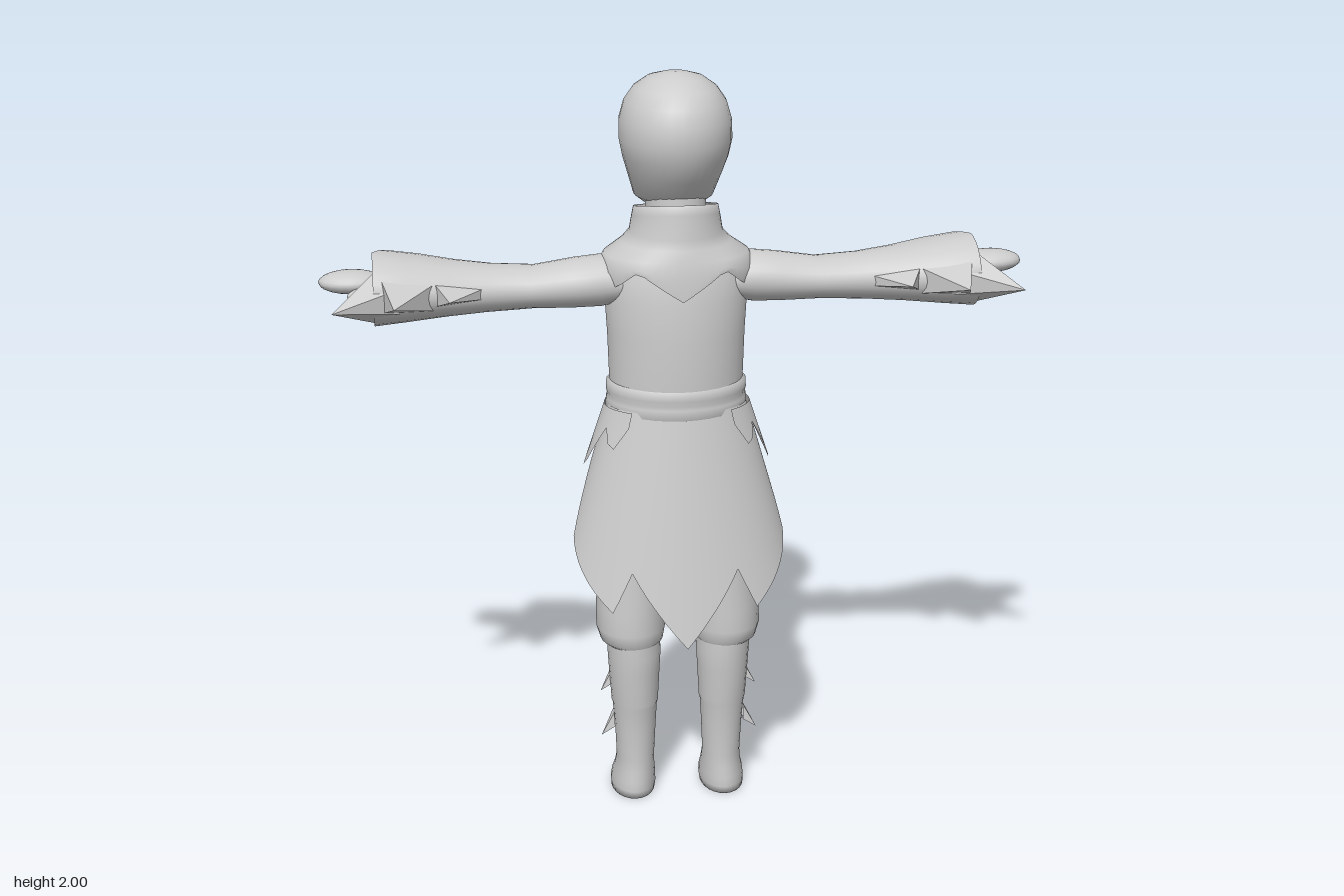
import * as THREE from 'three';

const cloth = new THREE.MeshStandardMaterial({ color: 0xcccccc, side: THREE.DoubleSide });
cloth.name = 'light grey';

// grid surface from a point function; u may wrap around
function grid(nu, nv, closed, fn) {
  const pos = [], idx = [], cols = closed ? nu : nu + 1;
  for (let j = 0; j <= nv; j++)
    for (let i = 0; i < cols; i++) pos.push(...fn(i / nu, j / nv, j));
  for (let j = 0; j < nv; j++)
    for (let i = 0; i < nu; i++) {
      const k = (i + 1) % cols, a = j * cols + i, b = j * cols + k;
      idx.push(a, b, b + cols, a, b + cols, a + cols);
    }
  const g = new THREE.BufferGeometry();
  g.setAttribute('position', new THREE.Float32BufferAttribute(pos, 3));
  g.setIndex(idx);
  g.computeVertexNormals();
  return g;
}

// upright loft: rows are [y, half width, z at back of body, z at chest, centre x]
function loft(rows, seg = 32, lift = () => 0) {
  return grid(seg, rows.length - 1, true, (u, v, j) => {
    const a = u * Math.PI * 2, [y, rx, z1, z0, cx = 0] = rows[j];
    return [cx + Math.sin(a) * rx, y + lift(a, v, j), (z1 + z0) / 2 + Math.cos(a) * (z1 - z0) / 2];
  });
}

// linear lookup in [[key, value], ...]
function lerpKeys(keys, k) {
  for (let i = 1; i < keys.length; i++)
    if (k <= keys[i][0]) {
      const [k0, v0] = keys[i - 1], [k1, v1] = keys[i];
      return v0 + (v1 - v0) * (k - k0) / (k1 - k0);
    }
  return keys[keys.length - 1][1];
}

// flared skirt panel hanging from the belt with a pointed hem, angles in degrees from +z
function skirt(hem, flareX, flareZ, grow = 0, top = 1.13) {
  const d0 = hem[0][0], d1 = hem[hem.length - 1][0], n = Math.round((d1 - d0) / 2.5);
  return grid(n, 8, false, (u, v) => {
    const d = d0 + (d1 - d0) * u, a = d * Math.PI / 180;
    const y = lerpKeys(hem, d) * (1 - v) + top * v, drop = top - y;
    const rx = 0.183 + grow + drop * flareX;
    const rz = (Math.cos(a) > 0 ? 0.12 : 0.168) + grow + drop * flareZ;
    return [Math.sin(a) * rx, y, Math.cos(a) * rz];
  });
}

// sharp scrap of cloth: a tip joined to a small loop of base points
function scrap(tip, base) {
  const pos = [];
  base.forEach((p, i) => pos.push(...tip, ...p, ...base[(i + 1) % base.length]));
  const g = new THREE.BufferGeometry();
  g.setAttribute('position', new THREE.Float32BufferAttribute(pos, 3));
  g.computeVertexNormals();
  return g;
}

function ball(x, y, z, rx, ry, rz, turn = 0) {
  return new THREE.SphereGeometry(1, 20, 12).scale(rx, ry, rz).rotateY(turn).translate(x, y, z);
}

export function createModel() {
  const model = new THREE.Group();
  const add = (name, geo) => {
    const m = new THREE.Mesh(geo, cloth);
    m.name = name;
    model.add(m);
  };
  // left part plus its mirrored twin
  const addPair = (name, geo) => {
    add('left ' + name, geo);
    const g = geo.clone().toNonIndexed().scale(-1, 1, 1);
    for (const key of ['position', 'normal']) {
      const at = g.getAttribute(key), p = new THREE.Vector3(), q = new THREE.Vector3();
      for (let i = 0; i < at.count; i += 3) {
        p.fromBufferAttribute(at, i + 1);
        q.fromBufferAttribute(at, i + 2);
        at.setXYZ(i + 1, q.x, q.y, q.z);
        at.setXYZ(i + 2, p.x, p.y, p.z);
      }
    }
    add('right ' + name, g);
  };

  // head and neck
  add('head', loft([
    [1.635, 0, -0.1, -0.1], [1.638, 0.035, -0.05, -0.145], [1.65, 0.075, -0.01, -0.18],
    [1.675, 0.104, 0.04, -0.2], [1.735, 0.122, 0.093, -0.208], [1.785, 0.137, 0.118, -0.196],
    [1.83, 0.146, 0.132, -0.203], [1.88, 0.145, 0.13, -0.207], [1.925, 0.132, 0.113, -0.195],
    [1.96, 0.108, 0.083, -0.165], [1.985, 0.073, 0.04, -0.12], [1.997, 0.035, 0, -0.07], [2, 0, -0.03, -0.03],
  ]));
  add('neck', loft([[1.55, 0.08, 0.06, -0.11], [1.7, 0.08, 0.05, -0.11]], 20));
  addPair('eye', ball(0.065, 1.785, -0.176, 0.03, 0.008, 0.01, -0.33 + Math.PI));

  // body and belt
  add('tunic', loft([
    [0.83, 0, -0.02, -0.02], [0.86, 0.14, 0.08, -0.11], [0.95, 0.17, 0.11, -0.15], [1.1, 0.18, 0.118, -0.165],
    [1.2, 0.178, 0.122, -0.168], [1.32, 0.182, 0.12, -0.168], [1.42, 0.188, 0.115, -0.165],
    [1.5, 0.175, 0.1, -0.14], [1.56, 0.12, 0.08, -0.12], [1.62, 0.09, 0.07, -0.11],
  ]));
  add('belt', loft([
    [1.105, 0.178, 0.115, -0.165], [1.115, 0.189, 0.127, -0.174], [1.14, 0.187, 0.125, -0.172],
    [1.15, 0.183, 0.122, -0.17], [1.165, 0.187, 0.127, -0.173], [1.185, 0.186, 0.126, -0.172], [1.195, 0.176, 0.117, -0.164],
  ]));

  // cowl with high collar, pointed at back and chest, lobed over the shoulders
  const cowlHem = [[0, -0.005], [35, 0.07], [58, 0.02], [80, 0.03], [95, 0.04], [120, 0.01], [145, 0.06], [180, 0.01]];
  add('cowl', loft([
    [1.44, 0.196, 0.132, -0.176], [1.49, 0.206, 0.13, -0.176], [1.535, 0.19, 0.122, -0.17],
    [1.565, 0.145, 0.112, -0.163], [1.59, 0.122, 0.104, -0.158], [1.63, 0.115, 0.1, -0.157],
    [1.655, 0.11, 0.094, -0.152], [1.65, 0.098, 0.08, -0.138], [1.59, 0.09, 0.07, -0.12],
  ], 48, (a, v, j) => {
    const d = Math.abs(((a * 180 / Math.PI + 180) % 360) - 180);
    return j < 2 ? lerpKeys(cowlHem, d) * (1 - j * 0.6) : j > 4 ? 0.025 * Math.cos(a) : 0;
  }));

  // skirt panels
  add('back skirt', skirt([[-95, 0.97], [-80, 0.77], [-35, 0.6], [-27.5, 0.71], [0, 0.51],
    [27.5, 0.71], [35, 0.6], [80, 0.77], [95, 0.97]], 0.29, 0.18));
  add('front skirt', skirt([[95, 0.98], [110, 0.86], [135, 0.8], [140, 0.83], [160, 0.71], [177.5, 0.8],
    [182.5, 0.8], [200, 0.71], [220, 0.83], [225, 0.8], [250, 0.86], [265, 0.98]], 0.14, 0.14));
  // scalloped hip petals
  addPair('hip petals', skirt([[42.5, 1.09], [52.5, 1.03], [60, 1.04], [67.5, 1.08], [85, 0.98], [95, 0.955],
    [102.5, 1], [112.5, 1.08], [125, 1.03], [135, 1.03], [145, 1.09]], 0.33, 0.15, 0.01));

  // trousers and boots
  addPair('trouser leg', loft([
    [0.45, 0.07, 0.1, -0.06, 0.125], [0.465, 0.085, 0.117, -0.075, 0.128], [0.5, 0.094, 0.121, -0.09, 0.13],
    [0.56, 0.096, 0.118, -0.108, 0.127], [0.7, 0.1, 0.113, -0.135, 0.115], [0.82, 0.1, 0.113, -0.148, 0.105],
    [0.95, 0.09, 0.1, -0.15, 0.095],
  ], 24));
  addPair('boot', loft([
    [0, 0, 0, 0, 0.125], [0, 0.06, 0.092, -0.098, 0.125], [0.02, 0.062, 0.094, -0.102, 0.124],
    [0.045, 0.06, 0.092, -0.092, 0.123], [0.075, 0.055, 0.088, -0.065, 0.121], [0.11, 0.052, 0.085, -0.04, 0.12],
    [0.2, 0.056, 0.088, -0.034, 0.12], [0.27, 0.061, 0.095, -0.042, 0.121], [0.28, 0.064, 0.099, -0.046, 0.121],
    [0.38, 0.07, 0.107, -0.055, 0.122], [0.43, 0.073, 0.112, -0.062, 0.122], [0.5, 0.07, 0.11, -0.06, 0.125],
  ], 24));
  for (const [y, z] of [[0.37, 0.01], [0.245, 0.03]])
    addPair('boot scrap', scrap([0.215, y - 0.065, z + 0.015],
      [[0.18, y, z - 0.015], [0.18, y, z + 0.015], [0.178, y - 0.04, z + 0.02], [0.178, y - 0.04, z - 0.01]]));

  // wide sleeves: rows are [x, top, bottom, z towards chest, z towards back]
  const rows = [
    [0.13, 1.515, 1.41, -0.08, 0.05], [0.2, 1.53, 1.395, -0.1, 0.062], [0.27, 1.522, 1.393, -0.106, 0.06],
    [0.38, 1.506, 1.395, -0.1, 0.055], [0.5, 1.514, 1.39, -0.1, 0.062], [0.6, 1.526, 1.383, -0.12, 0.08],
    [0.7, 1.543, 1.373, -0.143, 0.1], [0.785, 1.555, 1.365, -0.15, 0.11], [0.775, 1.545, 1.375, -0.14, 0.1],
    [0.62, 1.51, 1.4, -0.1, 0.06],
  ];
  addPair('sleeve', grid(28, rows.length - 1, true, (u, v, j) => {
    const a = u * Math.PI * 2, [x, t, b, z0, z1] = rows[j];
    const cut = 0.085 * Math.max(0, -Math.cos(a)) * (x - 0.13) / 0.65;
    return [x - cut, (t + b) / 2 + Math.sin(a) * (t - b) / 2, (z0 + z1) / 2 + Math.cos(a) * (z1 - z0) / 2];
  }));
  // torn trailing edge of the sleeve
  addPair('sleeve tatter', scrap([0.89, 1.445, 0.16],
    [[0.785, 1.52, 0.06], [0.785, 1.46, 0.105], [0.78, 1.385, 0.045], [0.72, 1.42, 0.09], [0.7, 1.49, 0.085]]));
  addPair('sleeve tatter', scrap([0.735, 1.46, 0.195],
    [[0.765, 1.51, 0.08], [0.765, 1.42, 0.08], [0.63, 1.42, 0.07], [0.63, 1.49, 0.07]]));
  addPair('sleeve tatter', scrap([0.595, 1.46, 0.145],
    [[0.63, 1.49, 0.07], [0.63, 1.43, 0.07], [0.5, 1.44, 0.05], [0.5, 1.47, 0.05]]));

  // arms and mitten hands
  addPair('forearm', new THREE.CylinderGeometry(0.032, 0.045, 0.3, 16).rotateZ(-Math.PI / 2).translate(0.66, 1.465, -0.03));
  addPair('hand', ball(0.84, 1.477, -0.03, 0.085, 0.03, 0.056, 0.06));
  addPair('thumb', ball(0.8, 1.455, 0.02, 0.055, 0.02, 0.022, -0.35));
  return model;
}
